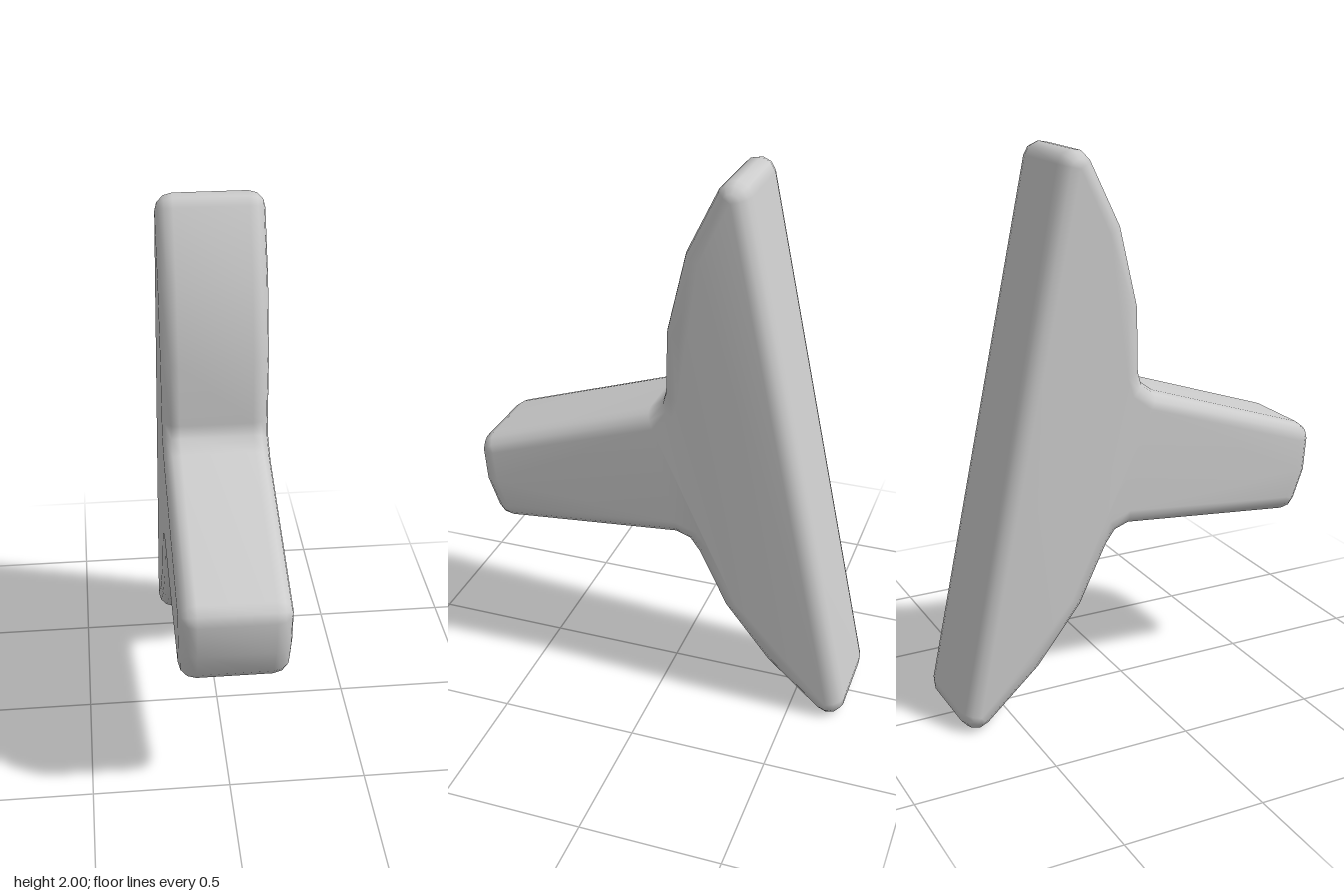
import * as THREE from 'three';
import { mergeVertices } from 'three/addons/utils/BufferGeometryUtils.js';

const HALF_WIDTH = 0.19;
const ROUND = 0.06; // edge rounding radius
const STEPS = 3; // facets per rounded edge

// Side outline (z, y), inset by ROUND, running top -> arm -> bottom -> back
const CORE = [
  [-0.24, 1.94], [-0.134, 1.721], [-0.072, 1.452], [-0.068, 1.22],
  [-0.048, 1.15], [0.026, 1.094],
  [0.648, 0.885], [0.638, 0.77], [0.6, 0.67],
  [-0.06, 0.733], [-0.139, 0.705], [-0.187, 0.64],
  [-0.291, 0.43], [-0.45, 0.232], [-0.643, 0.06],
].map(([z, y]) => new THREE.Vector2(z, y));

// Outline points with outward directions; sharp convex corners become a fan
function outlineWithNormals() {
  const n = CORE.length;
  const edgeNormal = (a, b) => new THREE.Vector2(a.y - b.y, b.x - a.x).normalize();
  const columns = [];
  CORE.forEach((p, i) => {
    const n1 = edgeNormal(CORE[(i + n - 1) % n], p);
    const n2 = edgeNormal(p, CORE[(i + 1) % n]);
    const turn = -Math.atan2(n1.cross(n2), n1.dot(n2));
    if (turn > 0.6) {
      const parts = Math.max(2, Math.round(turn / 0.6));
      for (let k = 0; k <= parts; k++) {
        const dir = n1.clone().rotateAround(new THREE.Vector2(), -turn * k / parts);
        columns.push({ p, dir });
      }
    } else {
      const dir = n1.clone().add(n2).divideScalar(1 + n1.dot(n2));
      columns.push({ p, dir });
    }
  });
  return columns;
}

function bodyGeometry() {
  const columns = outlineWithNormals();
  const cols = columns.length;
  const positions = [];
  const index = [];

  // Cross-section rows from +x to -x
  const rows = [];
  for (let i = 0; i <= STEPS; i++) {
    const a = (i / STEPS) * Math.PI / 2;
    rows.push({ x: HALF_WIDTH - ROUND + ROUND * Math.cos(a), grow: ROUND * Math.sin(a) });
  }
  rows.push(...rows.map(({ x, grow }) => ({ x: -x, grow })).reverse());

  // Rounded rim
  rows.forEach(({ x, grow }, i) => {
    columns.forEach(({ p, dir }, j) => {
      positions.push(x, p.y + dir.y * grow, p.x + dir.x * grow);
      if (i === rows.length - 1) return;
      const a = i * cols + j, b = i * cols + (j + 1) % cols;
      const c = a + cols, d = b + cols;
      if (i > 0 || columns[j].p !== columns[(j + 1) % cols].p) index.push(a, c, b);
      if (i < rows.length - 2 || columns[j].p !== columns[(j + 1) % cols].p) index.push(b, c, d);
    });
  });

  // Flat side faces
  const triangles = THREE.ShapeUtils.triangulateShape(CORE.slice(), []);
  for (const side of [1, -1]) {
    const start = positions.length / 3;
    CORE.forEach((p) => positions.push(side * HALF_WIDTH, p.y, p.x));
    for (const [a, b, c] of triangles) {
      const area = CORE[b].clone().sub(CORE[a]).cross(CORE[c].clone().sub(CORE[a]));
      const tri = area * side < 0 ? [a, b, c] : [a, c, b];
      index.push(...tri.map((k) => start + k));
    }
  }

  const geometry = new THREE.BufferGeometry();
  geometry.setAttribute('position', new THREE.Float32BufferAttribute(positions, 3));
  geometry.setIndex(index);
  const welded = mergeVertices(geometry, 1e-5);
  welded.computeVertexNormals();
  return welded;
}

export function createModel() {
  const group = new THREE.Group();
  group.name = 'bracket';
  const body = new THREE.Mesh(bodyGeometry(), new THREE.MeshStandardMaterial({ color: 0xcccccc }));
  body.name = 'plateWithArm';
  group.add(body);
  return group;
}
